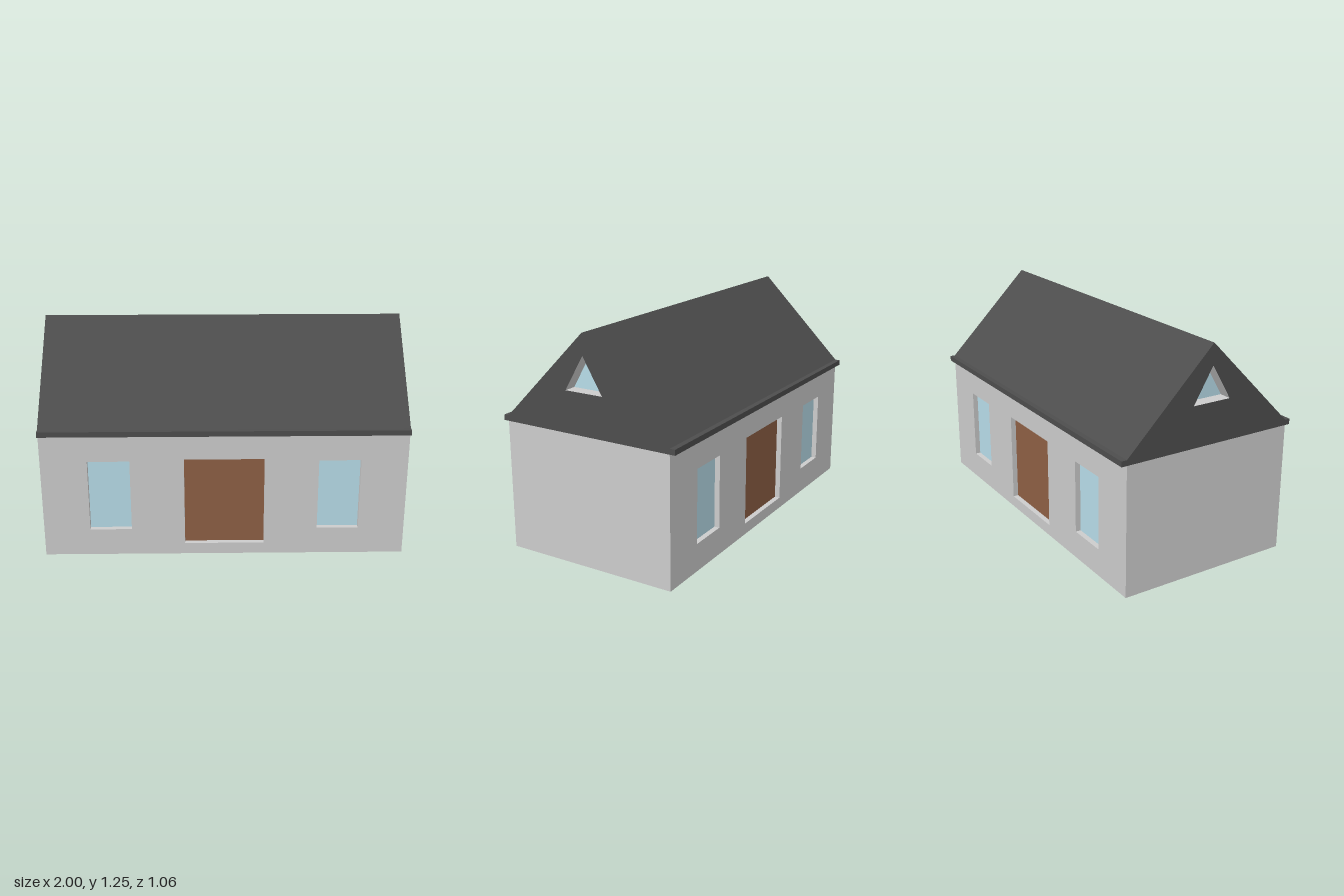
import * as THREE from 'three';

const LENGTH = 2, HALF_DEPTH = 0.5, WALL_TOP = 0.72;
const RECESS = 0.03, PANE = 0.01, GABLE_RECESS = 0.07;

const material = (color, side = THREE.FrontSide) => new THREE.MeshStandardMaterial({ color, side });
const wallMat = material(0xcccccc);
const revealMat = material(0xcccccc, THREE.DoubleSide);
const roofMat = material(0x4d4d4d);
const glassMat = material(0xb7dce8);
const doorMat = material(0x8d5f44);

// openings in each long wall: x range, y range
const openings = [
  { name: 'windowLeft', x0: 0.515, x1: 0.745, y0: 0.155, y1: 0.565, mat: glassMat },
  { name: 'door', x0: -0.22, x1: 0.22, y0: 0.065, y1: 0.575, mat: doorMat },
  { name: 'windowRight', x0: -0.745, x1: -0.515, y0: 0.155, y1: 0.565, mat: glassMat },
];

// roof section and gable window as [z, y] corners
const roofProfile = [[-0.53, 0.72], [-0.53, 0.75], [-0.5, 0.75], [0, 1.25], [0.5, 0.75], [0.53, 0.75], [0.53, 0.72]];
const gableWindow = [[-0.112, 0.945], [0.112, 0.945], [0, 1.135]];

function add(parent, name, geometry, mat, x = 0, y = 0, z = 0) {
  const mesh = new THREE.Mesh(geometry, mat);
  mesh.name = name;
  mesh.position.set(x, y, z);
  parent.add(mesh);
  return mesh;
}

const toShape = (points) => new THREE.Shape(points.map(([a, b]) => new THREE.Vector2(a, b)));

const rectangle = (x0, x1, y0, y1) => toShape([[x0, y0], [x1, y0], [x1, y1], [x0, y1]]);

// open-ended tube: sweeps a closed [z, y] outline along x
function sweepX(outline, x0, x1) {
  const positions = [];
  outline.forEach(([za, ya], i) => {
    const [zb, yb] = outline[(i + 1) % outline.length];
    positions.push(x0, ya, za, x0, yb, zb, x1, yb, zb);
    positions.push(x0, ya, za, x1, yb, zb, x1, ya, za);
  });
  const geometry = new THREE.BufferGeometry();
  geometry.setAttribute('position', new THREE.Float32BufferAttribute(positions, 3));
  geometry.computeVertexNormals();
  return geometry;
}

// long wall with recessed windows and door, facing +z
function longWall(name) {
  const group = new THREE.Group();
  group.name = name;
  const thickness = RECESS + PANE;
  const shape = rectangle(-LENGTH / 2, LENGTH / 2, 0, WALL_TOP);
  for (const o of openings) shape.holes.push(rectangle(o.x0, o.x1, o.y0, o.y1));
  const wall = new THREE.ExtrudeGeometry(shape, { depth: thickness, bevelEnabled: false });
  add(group, 'wall', wall, wallMat, 0, 0, HALF_DEPTH - thickness);
  for (const o of openings) {
    const pane = new THREE.BoxGeometry(o.x1 - o.x0, o.y1 - o.y0, PANE);
    add(group, o.name, pane, o.mat, (o.x0 + o.x1) / 2, (o.y0 + o.y1) / 2, HALF_DEPTH - RECESS - PANE / 2);
  }
  return group;
}

// gable end with a recessed triangular window, facing +x
function gableEnd(name) {
  const group = new THREE.Group();
  group.name = name;
  const shape = toShape(roofProfile);
  shape.holes.push(toShape(gableWindow));
  const end = LENGTH / 2;
  add(group, 'gable', new THREE.ShapeGeometry(shape), roofMat, end).rotation.y = Math.PI / 2;
  add(group, 'gableWindowReveal', sweepX(gableWindow, end - GABLE_RECESS, end), revealMat);
  const glass = new THREE.ShapeGeometry(toShape(gableWindow));
  add(group, 'gableWindow', glass, glassMat, end - GABLE_RECESS).rotation.y = Math.PI / 2;
  return group;
}

export function createModel() {
  const house = new THREE.Group();
  house.name = 'house';

  // body between the long walls
  const coreDepth = 2 * (HALF_DEPTH - RECESS - PANE);
  add(house, 'body', new THREE.BoxGeometry(LENGTH, WALL_TOP, coreDepth), wallMat, 0, WALL_TOP / 2, 0);

  // matching front and back walls
  const backWall = longWall('backWall');
  backWall.rotation.y = Math.PI;
  house.add(longWall('frontWall'), backWall);

  // roof slopes with eaves, closed by the two gables
  add(house, 'roof', sweepX(roofProfile, -LENGTH / 2, LENGTH / 2), roofMat);
  const rightGable = gableEnd('rightGable');
  rightGable.rotation.y = Math.PI;
  house.add(gableEnd('leftGable'), rightGable);

  return house;
}
